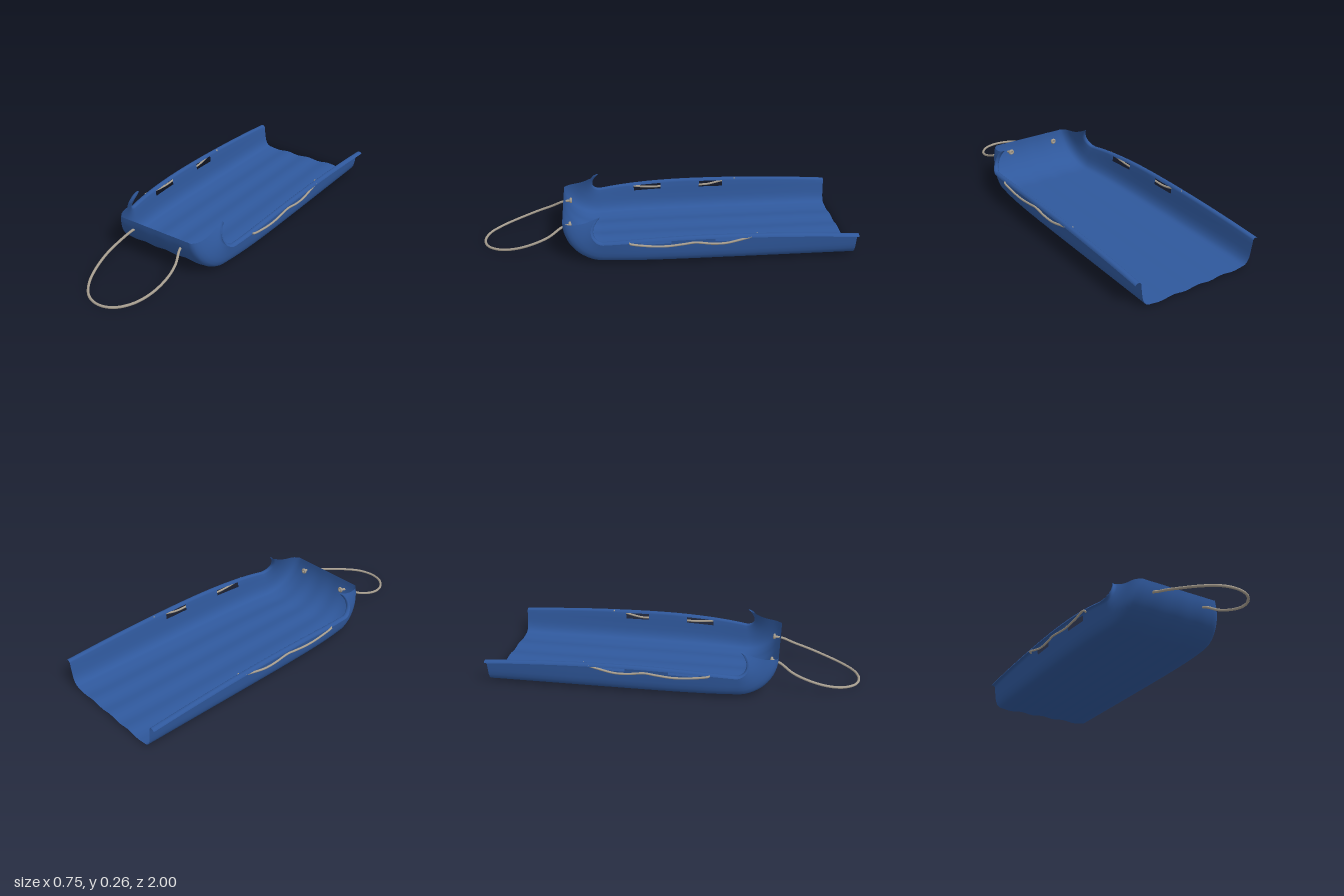
import * as THREE from 'three';

const FRONT = 0.345;   // where the floor starts to curl upward
const RADIUS = 0.21;   // radius of the curled nose

// Half cross-section from floor corner to rolled rim: [x, height]
const WALL = [
  [0.305, 0.012], [0.318, 0.024], [0.328, 0.045], [0.333, 0.07], [0.336, 0.1], [0.339, 0.128],
  [0.342, 0.163], [0.346, 0.172], [0.353, 0.178], [0.364, 0.176], [0.371, 0.171], [0.374, 0.162],
];
const FLOOR_STEPS = 12;
const SLOT_ROW = FLOOR_STEPS + 6;          // wall strip that holds the hand slots
const SLOTS = [[-0.38, -0.24], [-0.01, 0.15]];

// Half section including the gently ribbed floor
function halfSection() {
  const pts = [];
  for (let i = 0; i <= FLOOR_STEPS; i++) {
    const x = 0.29 * i / FLOOR_STEPS;
    pts.push([x, 0.004 + 0.004 * Math.cos(x * Math.PI * 2 / 0.15)]);
  }
  return pts.concat(WALL);
}

// Stations along the sled: straight part, then the curled nose (t from 0 to 1)
function stations() {
  const list = [-1, -0.9, -0.8, -0.7, -0.6, -0.5, -0.38, -0.31, -0.24, -0.16, -0.08, -0.01,
    0.07, 0.15, 0.2, 0.25, 0.3].map((z) => ({ z, t: 0 }));
  for (let i = 0; i <= 14; i++) list.push({ z: FRONT, t: i / 14 });
  return list;
}

// Place one section point at a station
function place(x, h, side, { z, t }) {
  const d = z + 0.2;
  const rimScale = 1 - 0.29 * Math.pow(d / (d < 0 ? 0.8 : 0.545), 2);
  const width = 1 - 0.07 * Math.pow((z + 1) / 1.345, 8) - 0.15 * Math.pow(t, 1.5);
  let height = h > 0.07 ? 0.07 + (h - 0.07) * rimScale : h;
  if (h < 0.01) height *= 1 - t;
  const horn = Math.pow(t, 5) * Math.pow(h / 0.178, 5);   // rim sweeps up into a horn
  height += 0.052 * horn;
  const a = t * Math.PI / 2;
  const r = RADIUS - height;
  return [
    side * x * width,
    RADIUS - r * Math.cos(a) + 0.04 * horn + 0.012 * t * t * (h / 0.178),
    z + r * Math.sin(a),
  ];
}

function shellGeometry() {
  const half = halfSection();
  const section = [...half.slice(1).reverse().map(([x, h]) => [x, h, -1]),
    ...half.map(([x, h]) => [x, h, 1])];
  const rows = stations();
  const n = section.length, mid = half.length - 1;
  const pos = [], idx = [];
  for (const st of rows) for (const [x, h, s] of section) pos.push(...place(x, h, s, st));
  for (let r = 0; r < rows.length - 1; r++) {
    const zc = (rows[r].z + rows[r + 1].z) / 2;
    const inSlot = SLOTS.some(([a, b]) => zc > a && zc < b);
    for (let c = 0; c < n - 1; c++) {
      const strip = c >= mid ? c - mid : mid - 1 - c;
      if (inSlot && strip === SLOT_ROW) continue;
      const a = r * n + c, b = a + 1, d = a + n, e = d + 1;
      idx.push(a, d, b, b, d, e);
    }
  }
  const g = new THREE.BufferGeometry();
  g.setAttribute('position', new THREE.Float32BufferAttribute(pos, 3));
  g.setIndex(idx);
  g.computeVertexNormals();
  return g;
}

export function createModel() {
  const group = new THREE.Group();
  group.name = 'sled';
  const blue = new THREE.MeshStandardMaterial({ color: 0x2f589c, side: THREE.DoubleSide });
  blue.name = 'blue plastic';
  const tan = new THREE.MeshStandardMaterial({ color: 0xa69d8f });
  tan.name = 'tan rope';

  const add = (name, geometry, material) => {
    const m = new THREE.Mesh(geometry, material);
    m.name = name;
    group.add(m);
    return m;
  };
  const rope = (name, pts, radius) => {
    const curve = new THREE.CatmullRomCurve3(pts.map((p) => new THREE.Vector3(...p)));
    return add(name, new THREE.TubeGeometry(curve, 80, radius, 8), tan);
  };

  // Body with curled nose, walls, rims and hand slots
  add('shell', shellGeometry(), blue);

  // Pull rope looping out of the nose
  const pull = [[0.145, 0.162, 0.51], [0.157, 0.152, 0.56], [0.185, 0.112, 0.63], [0.195, 0.08, 0.71],
    [0.182, 0.047, 0.81], [0.145, 0.025, 0.9], [0.08, 0.014, 0.97]];
  const mirrored = pull.map(([x, y, z]) => [-x, y, z]).reverse();
  rope('pullRope', [...pull, [0, 0.011, 0.993], ...mirrored], 0.007);

  for (const s of [1, -1]) {
    const label = s > 0 ? 'left' : 'right';
    // Knot behind the nose
    const knot = add(label + 'Knot', new THREE.TorusGeometry(0.01, 0.007, 8, 14), tan);
    knot.position.set(s * 0.147, 0.162, 0.518);
    // Rope handle threaded along the side
    rope(label + 'HandleRope', [[0.345, 0.148, 0.2], [0.362, 0.148, 0.21], [0.366, 0.132, 0.12],
      [0.366, 0.126, 0.02], [0.366, 0.134, -0.07], [0.366, 0.141, -0.13], [0.366, 0.13, -0.22],
      [0.366, 0.13, -0.29], [0.366, 0.147, -0.37], [0.364, 0.166, -0.44], [0.345, 0.168, -0.46],
    ].map(([x, y, z]) => [s * x, y, z]), 0.006);
  }
  return group;
}
